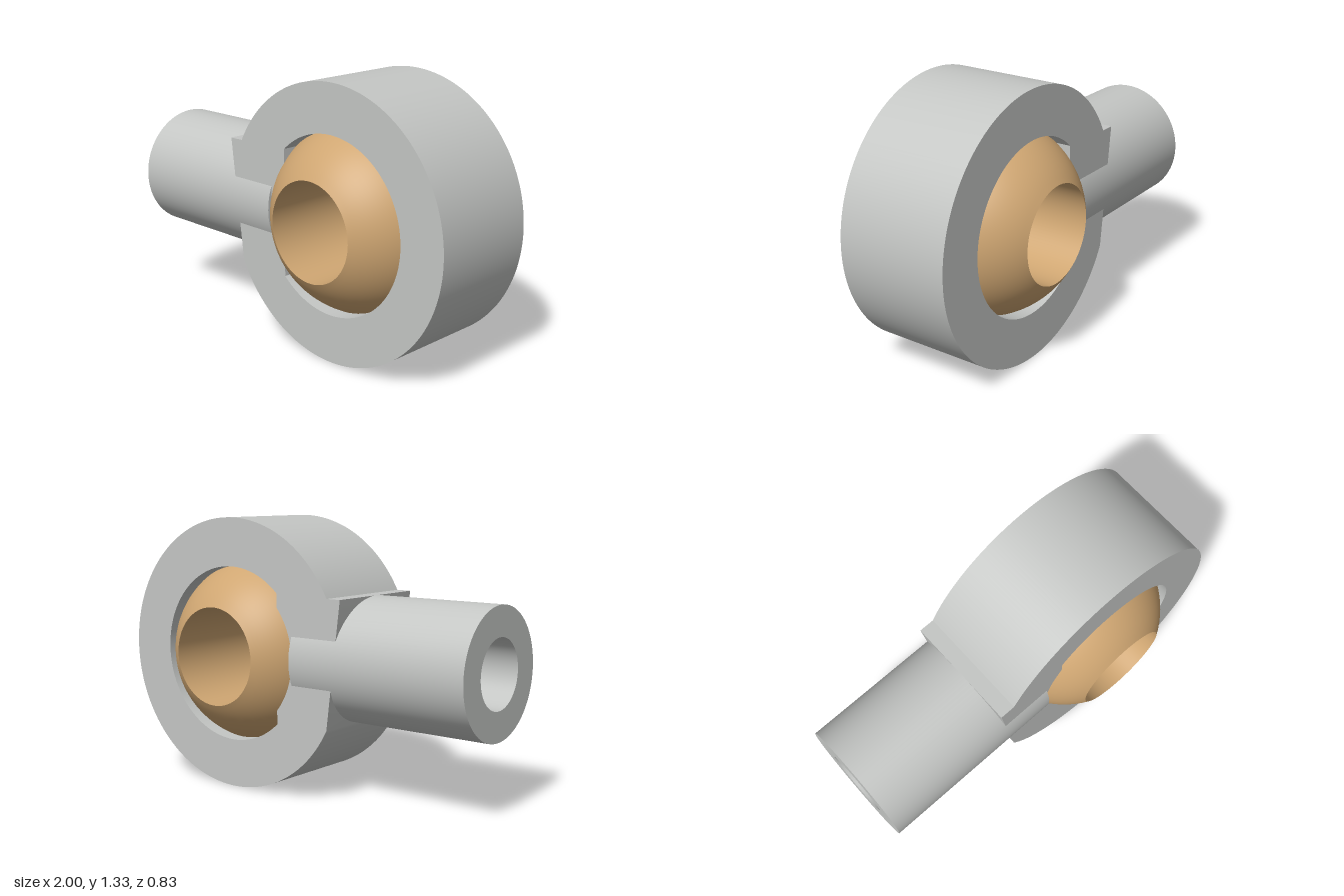
import * as THREE from 'three';
import { toCreasedNormals } from 'three/addons/utils/BufferGeometryUtils.js';

const CX = 0.333, CY = 0.667; // centre of the eye
const SHANK_R = 0.308, HALF_DEPTH = 0.285;

const steel = new THREE.MeshStandardMaterial({ color: 0xc4c6c4 });
steel.name = 'steel grey';
const bronze = new THREE.MeshStandardMaterial({ color: 0xcfa672 });
bronze.name = 'bronze';

function addPart(group, name, geometry, material) {
  const mesh = new THREE.Mesh(toCreasedNormals(geometry, Math.PI / 6), material);
  mesh.name = name;
  group.add(mesh);
  return mesh;
}

// Revolved solid from [radius, height] pairs, listed counterclockwise
function lathe(points) {
  return new THREE.LatheGeometry(points.map(([r, h]) => new THREE.Vector2(r, h)), 96);
}

// Round eye with a square neck; the neck cuts a flat into the hole
function housingGeometry() {
  const outerR = 0.667, holeR = 0.43, neckX = -0.335 - CX, flatX = 0.04 - CX;
  const join = Math.PI - Math.asin(SHANK_R / outerR);
  const shape = new THREE.Shape();
  shape.moveTo(neckX, -SHANK_R);
  shape.absarc(0, 0, outerR, -join, join, false);
  shape.lineTo(neckX, SHANK_R);
  shape.closePath();

  const flat = Math.acos(flatX / holeR);
  const hole = new THREE.Path();
  hole.absarc(0, 0, holeR, -flat, flat, false);
  hole.closePath();
  shape.holes.push(hole);

  const geometry = new THREE.ExtrudeGeometry(shape, {
    depth: 2 * HALF_DEPTH, bevelEnabled: false, curveSegments: 96,
  });
  return geometry.translate(CX, CY, -HALF_DEPTH);
}

// Ball truncated exactly where its bore meets the sphere
function ballGeometry() {
  const boreR = 0.24, half = 0.413, R = Math.hypot(boreR, half);
  const end = Math.asin(half / R), steps = 32;
  const profile = [];
  for (let i = 0; i <= steps; i++) {
    const a = -end + (2 * end * i) / steps;
    profile.push([R * Math.cos(a), R * Math.sin(a)]);
  }
  profile.push([boreR, -half]);
  return lathe(profile).rotateX(Math.PI / 2).translate(CX, CY, 0);
}

// Hollow shank along x; the neck closes the bottom of its bore
function shankGeometry() {
  const boreR = 0.165, start = -1, end = -0.05;
  return lathe([
    [boreR, start], [SHANK_R, start], [SHANK_R, end], [boreR, end], [boreR, start],
  ]).rotateZ(-Math.PI / 2).translate(0, CY, 0);
}

export function createModel() {
  const group = new THREE.Group();
  group.name = 'rodEnd';
  addPart(group, 'housing', housingGeometry(), steel);
  addPart(group, 'shank', shankGeometry(), steel);
  addPart(group, 'ball', ballGeometry(), bronze);
  return group;
}
